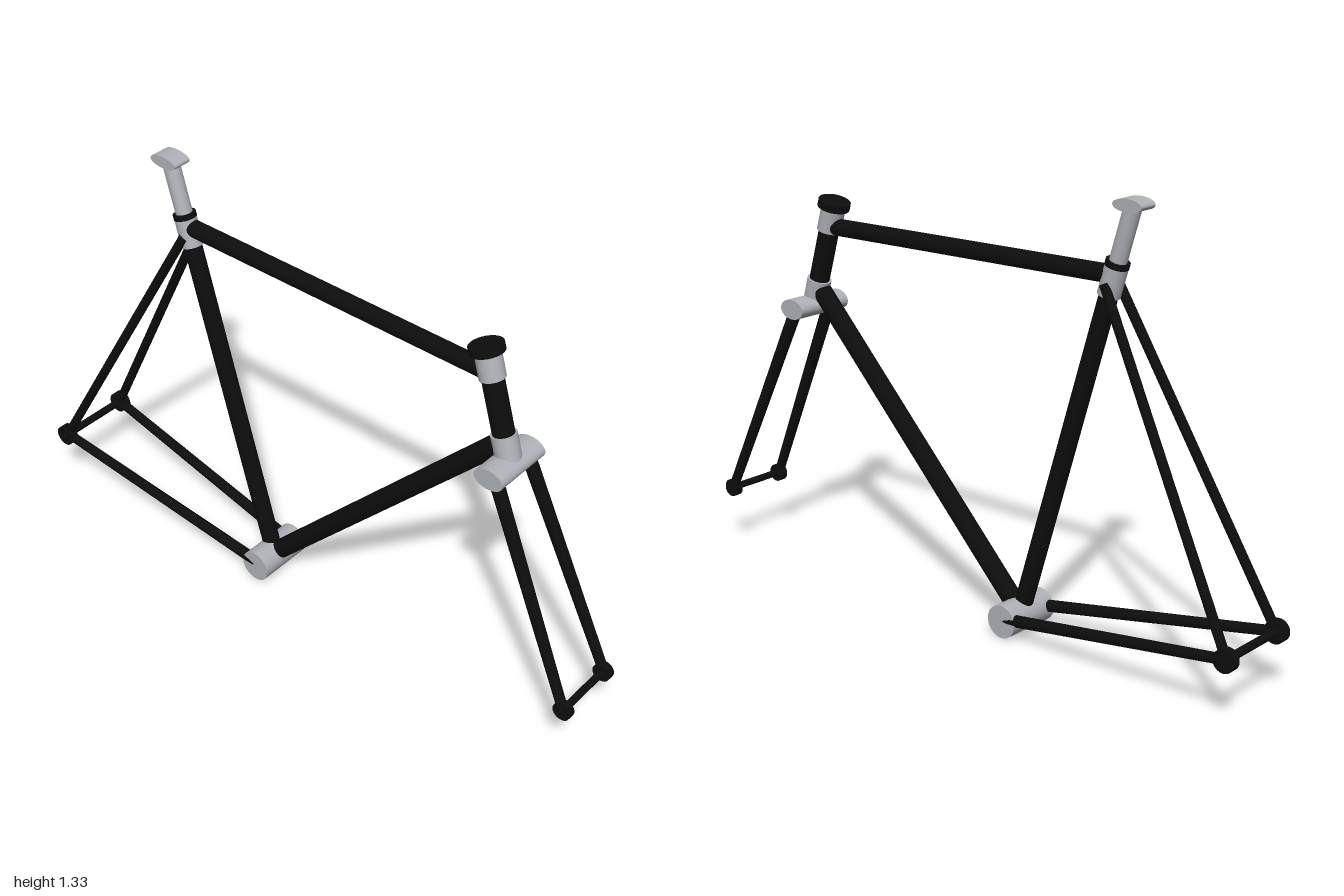
import * as THREE from 'three';

export function createModel() {
  const root = new THREE.Group();
  root.name = 'bicycleFrame';
  const black = new THREE.MeshStandardMaterial({ color: 0x0d0d0e });
  black.name = 'black paint';
  const silver = new THREE.MeshStandardMaterial({ color: 0xafb2b8 });
  silver.name = 'silver metal';

  const UP = new THREE.Vector3(0, 1, 0);
  const V = (x, y, z = 0) => new THREE.Vector3(x, y, z);

  // Round tube from a to b, tapering from radius ra to rb
  function tube(name, mat, a, b, ra, rb = ra) {
    const dir = b.clone().sub(a);
    const mesh = new THREE.Mesh(new THREE.CylinderGeometry(rb, ra, dir.length(), 28), mat);
    mesh.position.copy(a).add(b).multiplyScalar(0.5);
    mesh.quaternion.setFromUnitVectors(UP, dir.normalize());
    mesh.name = name;
    root.add(mesh);
    return mesh;
  }

  // Crosswise bar along z with an elliptical section
  function crossBar(name, mat, x, y, halfLength, rx, ry = rx, z = 0) {
    const geo = new THREE.CylinderGeometry(1, 1, halfLength * 2, 36);
    geo.rotateX(Math.PI / 2).scale(rx, ry, 1);
    const mesh = new THREE.Mesh(geo, mat);
    mesh.position.set(x, y, z);
    mesh.name = name;
    root.add(mesh);
  }

  // Points on the parallel seat and steering axes at height y
  const seat = (y) => V(-0.175 - (y - 0.05) * 0.295, y);
  const steer = (y) => V(0.667 - (y - 0.837) * 0.297, y);

  // Main triangle
  tube('seatTube', black, seat(0.05), seat(1.09), 0.027);
  tube('topTube', black, V(-0.485, 1.113), V(0.59, 1.093), 0.026);
  tube('downTube', black, V(-0.165, 0.06), V(0.642, 0.895), 0.03);
  crossBar('bottomBracketShell', silver, -0.175, 0.05, 0.09, 0.05);

  // Seat cluster and post
  tube('seatLug', silver, seat(1.055), seat(1.14), 0.033);
  tube('seatCollar', black, seat(1.137), seat(1.152), 0.034);
  tube('seatPost', silver, seat(1.1), seat(1.3), 0.025);
  crossBar('seatClamp', silver, -0.546, 1.309, 0.03, 0.048, 0.018);

  // Steering column and fork crown
  tube('headTube', black, steer(0.88), steer(1.13), 0.031);
  tube('upperHeadLug', silver, steer(1.08), steer(1.155), 0.037);
  tube('headsetCap', black, steer(1.152), steer(1.173), 0.049);
  tube('lowerHeadLug', silver, steer(0.84), steer(0.922), 0.037);
  crossBar('forkCrown', silver, 0.667, 0.837, 0.097, 0.047, 0.031);

  // Axles
  crossBar('rearAxle', black, -0.968, 0.19, 0.143, 0.012);
  crossBar('frontAxle', black, 0.968, 0.19, 0.112, 0.011);

  // Mirrored stays, blades and dropouts
  for (const s of [1, -1]) {
    const side = s > 0 ? 'Front' : 'Back';
    const rear = V(-0.968, 0.19, s * 0.118);
    tube('seatStay' + side, black, V(-0.478, 1.09, s * 0.03), rear, 0.014);
    tube('chainStay' + side, black, V(-0.18, 0.053, s * 0.072), rear, 0.018, 0.015);
    tube('forkBlade' + side, black, V(0.672, 0.835, s * 0.072), V(0.968, 0.19, s * 0.1), 0.02, 0.015);
    crossBar('rearDropout' + side, black, -0.968, 0.19, 0.014, 0.033, 0.033, s * 0.12);
    crossBar('frontDropout' + side, black, 0.968, 0.19, 0.012, 0.028, 0.028, s * 0.098);
  }
  return root;
}
